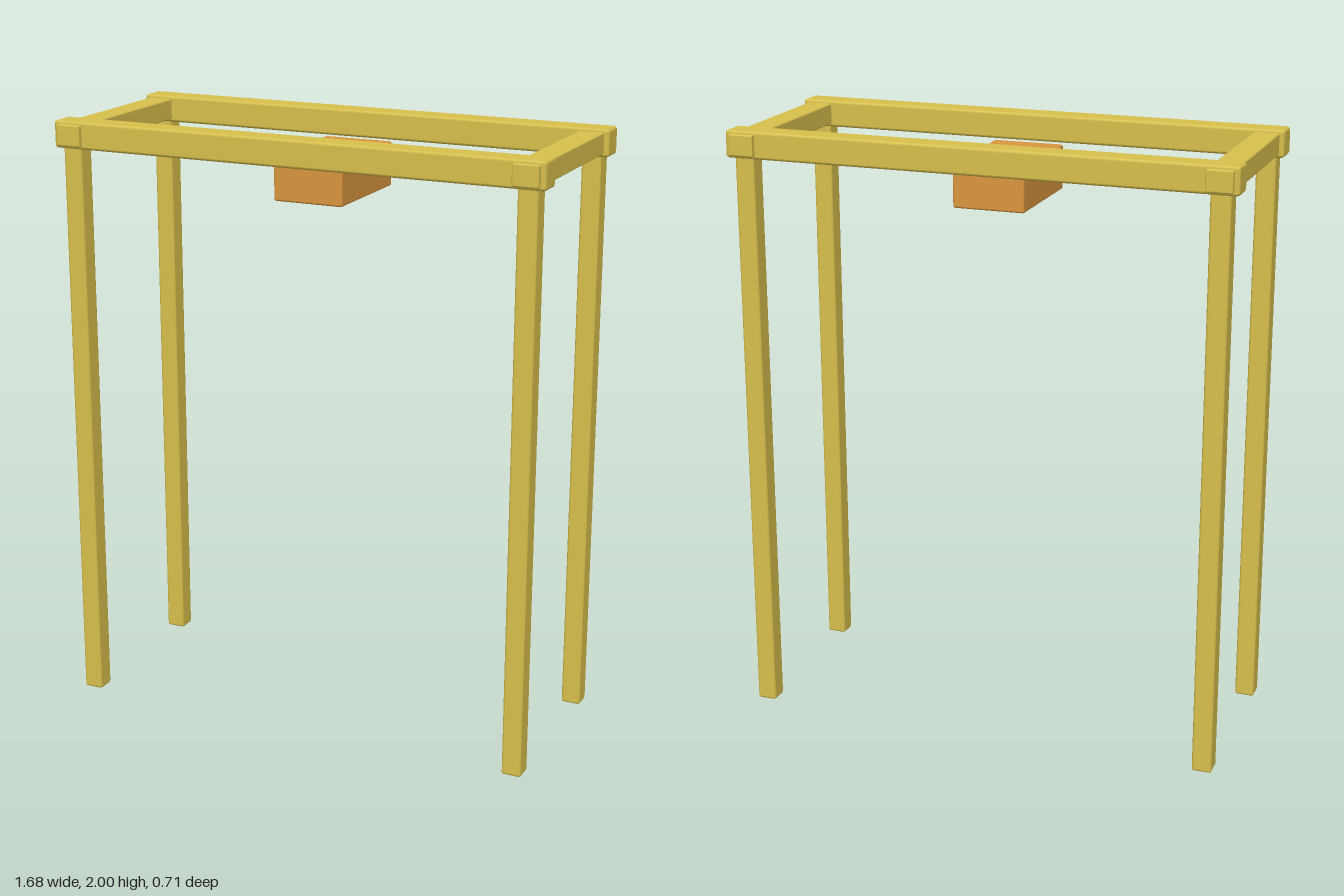
import * as THREE from 'three';
import { RoundedBoxGeometry } from 'three/addons/geometries/RoundedBoxGeometry.js';

export function createModel() {
  const model = new THREE.Group();
  const yellow = new THREE.MeshStandardMaterial({ color: 0xd8c04c });
  const orange = new THREE.MeshStandardMaterial({ color: 0xda963e });

  // Box with narrow bevelled edges, placed by its centre
  function block(name, [w, h, d], [x, y, z], material, bevel = 0.008) {
    const mesh = new THREE.Mesh(new RoundedBoxGeometry(w, h, d, 1, bevel), material);
    mesh.name = name;
    mesh.position.set(x, y, z);
    model.add(mesh);
  }

  const legX = 0.78;
  const legZ = 0.294;

  for (const sz of [1, -1]) {
    // Long top beams, front and back
    block(sz > 0 ? 'frontBeam' : 'backBeam', [1.68, 0.09, 0.087], [0, 1.955, sz * legZ], yellow, 0.01);
    // Four legs, ending inside the beams
    for (const sx of [1, -1]) {
      const name = (sz > 0 ? 'front' : 'back') + (sx > 0 ? 'Left' : 'Right') + 'Leg';
      block(name, [0.066, 1.94, 0.066], [sx * legX, 0.97, sz * legZ], yellow);
    }
  }

  // Short cross beams, passing through the long beams at each end
  for (const sx of [1, -1]) {
    block(sx > 0 ? 'leftCrossBeam' : 'rightCrossBeam', [0.086, 0.07, 0.706], [sx * legX, 1.955, 0], yellow, 0.005);
  }

  // Box hanging in the middle
  block('hangingBox', [0.24, 0.147, 0.39], [0, 1.845, 0], orange, 0.007);

  return model;
}
